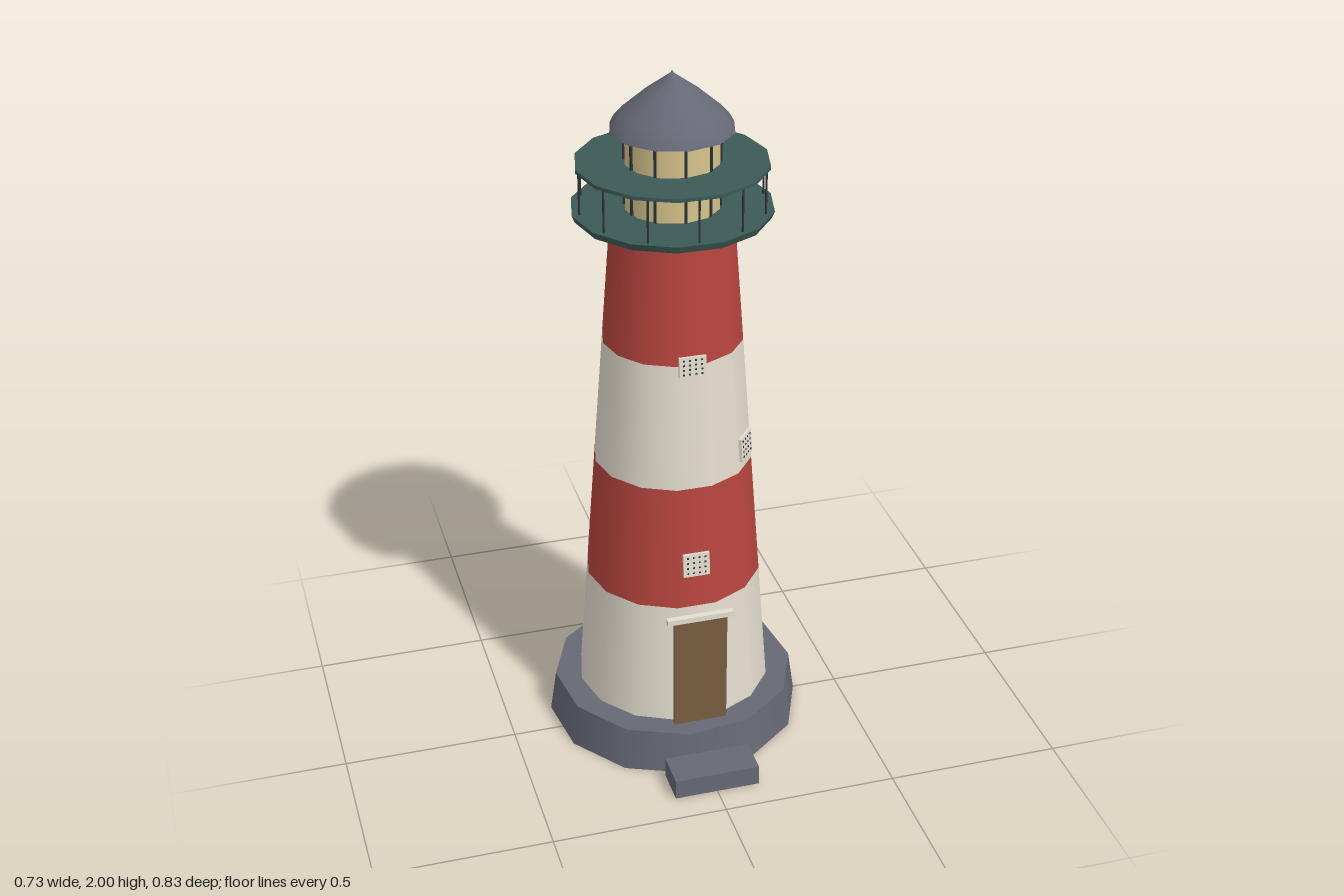
import * as THREE from 'three';

const mat = (name, color, side = THREE.FrontSide) => {
  const m = new THREE.MeshStandardMaterial({ color });
  m.name = name;
  m.side = side;
  return m;
};

export function createModel() {
  const slate = mat('slate', 0x666875, THREE.DoubleSide);
  const white = mat('cream white', 0xe4ddcf);
  const red = mat('red', 0xb8453f);
  const green = mat('dark green', 0x3d5a57, THREE.DoubleSide);
  const glass = mat('warm glass', 0xd8c48c);
  const wood = mat('wood', 0x7a5c41);
  const iron = mat('iron', 0x2d3338);

  const model = new THREE.Group();
  model.name = 'lighthouse';
  const tower = new THREE.Group(); // everything centred on the tower axis
  tower.name = 'tower';
  tower.position.z = -0.05;
  model.add(tower);

  const add = (name, geometry, material, x = 0, y = 0, z = 0, parent = tower) => {
    const mesh = new THREE.Mesh(geometry, material);
    mesh.name = name;
    mesh.position.set(x, y, z);
    parent.add(mesh);
    return mesh;
  };
  // Tapered drum between two heights
  const drum = (name, rBottom, rTop, y0, y1, sides, turn, material, open = false) => {
    const g = new THREE.CylinderGeometry(rTop, rBottom, y1 - y0, sides, 1, open);
    return add(name, g.rotateY(turn), material, 0, (y0 + y1) / 2);
  };
  const TURN = Math.PI / 14;

  // Hollow base with a top deck, and the front step
  drum('base', 0.37, 0.352, 0, 0.125, 12, -0.137, slate, true);
  add('baseDeck', new THREE.CircleGeometry(0.352, 12).rotateX(-Math.PI / 2).rotateY(-0.137), slate, 0, 0.125);
  add('step', new THREE.BoxGeometry(0.247, 0.06, 0.108), slate, 0, 0.03, 0.361, model);

  // Four striped wall bands
  const Y0 = 0.125, Y1 = 1.605;
  const radius = (y) => 0.281 + (0.169 - 0.281) * (y - Y0) / (Y1 - Y0);
  for (let i = 0; i < 4; i++) {
    const a = Y0 + (Y1 - Y0) * i / 4, b = Y0 + (Y1 - Y0) * (i + 1) / 4;
    drum('wallBand', radius(a), radius(b), a, b, 14, TURN, i % 2 ? red : white, true);
  }

  // Door and lintel
  add('door', new THREE.BoxGeometry(0.155, 0.347, 0.012), wood, 0, 0.2985, 0.236, model);
  add('lintel', new THREE.BoxGeometry(0.194, 0.016, 0.018), white, 0, 0.479, 0.234, model);

  // Windows: pale plates with a fine grid of studs, leaning with the wall
  const addWindow = (y, angle, height) => {
    const pivot = new THREE.Group();
    pivot.name = 'window';
    pivot.rotation.y = angle;
    tower.add(pivot);
    const leaf = new THREE.Group();
    leaf.position.set(0, y, radius(y) * 0.98 + 0.004);
    leaf.rotation.x = -0.074;
    pivot.add(leaf);
    add('windowPlate', new THREE.BoxGeometry(0.076, height, 0.009), white, 0, 0, 0, leaf);
    for (let i = 0; i < 4; i++) {
      for (let j = 0; j < 4; j++) {
        add('windowStud', new THREE.BoxGeometry(0.005, 0.005, 0.002), iron,
          (i - 1.5) * 0.017, (j - 1.5) * height * 0.23, 0.005, leaf);
      }
    }
  };
  addWindow(0.63, 0, 0.07);
  addWindow(0.93, 0.9, 0.07);
  addWindow(1.233, 0, 0.058);

  // Gallery floor, posts and broad top rail
  drum('galleryFloor', 0.268, 0.276, 1.602, 1.622, 14, TURN, green);
  drum('galleryRail', 0.263, 0.263, 1.74, 1.75, 14, TURN, green);
  for (let i = 0; i < 12; i++) {
    const a = i * Math.PI / 6;
    add('galleryPost', new THREE.CylinderGeometry(0.003, 0.003, 0.124, 6), iron,
      Math.sin(a) * 0.255, 1.681, Math.cos(a) * 0.255);
  }

  // Lantern room with glazing bars
  drum('lanternGlass', 0.13, 0.13, 1.62, 1.842, 12, 0, glass, true);
  for (let i = 0; i < 10; i++) {
    const a = i * Math.PI / 5;
    add('glazingBar', new THREE.BoxGeometry(0.007, 0.222, 0.008), iron,
      Math.sin(a) * 0.128, 1.731, Math.cos(a) * 0.128).rotation.y = a;
  }

  // Rounded conical roof with a closed underside
  const profile = [[0.17, 1.84], [0.16, 1.86], [0.136, 1.888], [0.07, 1.945], [0.004, 1.992], [0, 2]];
  add('roof', new THREE.LatheGeometry(profile.map((p) => new THREE.Vector2(...p)), 12), slate);
  add('roofUnderside', new THREE.CircleGeometry(0.17, 12).rotateX(Math.PI / 2), slate, 0, 1.84);

  return model;
}
